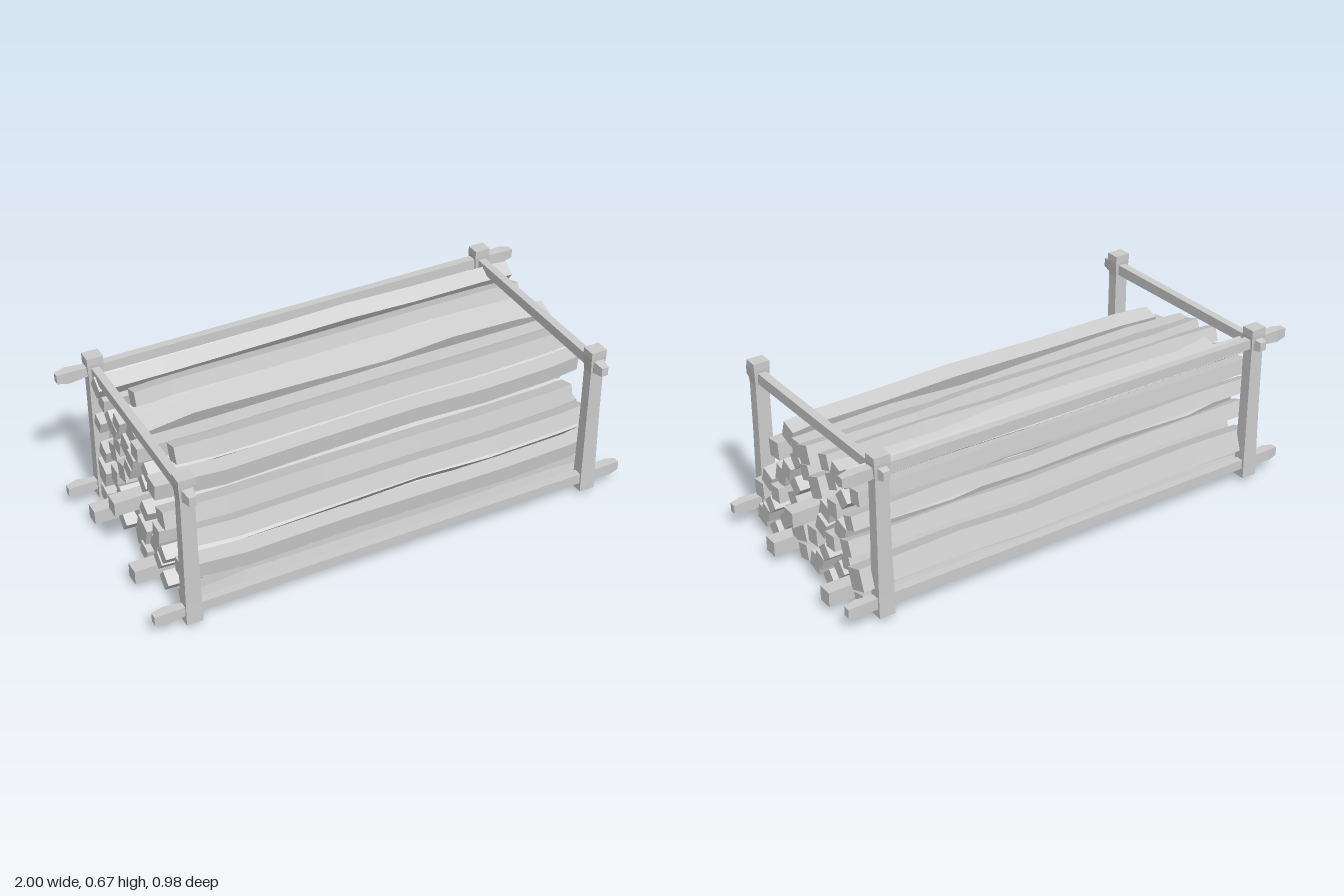
import * as THREE from 'three';

const material = new THREE.MeshStandardMaterial({ color: 0xcccccc, flatShading: true });

// Four-sided timber along x, from stations [x, y, z, height, depth]
function timber(stations) {
  const rings = stations.map(([x, y, z, h, d]) => [
    [x, y + h / 2, z - d / 2], [x, y + h / 2, z + d / 2],
    [x, y - h / 2, z + d / 2], [x, y - h / 2, z - d / 2],
  ]);
  const positions = [];
  const quad = (a, b, c, d) => positions.push(...a, ...b, ...c, ...a, ...c, ...d);
  for (let i = 0; i < rings.length - 1; i++) {
    const p = rings[i], q = rings[i + 1];
    for (let k = 0; k < 4; k++) {
      const n = (k + 1) % 4;
      quad(p[k], p[n], q[n], q[k]);
    }
  }
  const first = rings[0], last = rings[rings.length - 1];
  quad(first[3], first[2], first[1], first[0]);
  quad(last[0], last[1], last[2], last[3]);
  const geometry = new THREE.BufferGeometry();
  geometry.setAttribute('position', new THREE.Float32BufferAttribute(positions, 3));
  geometry.computeVertexNormals();
  return geometry;
}

function add(parent, name, geometry, x, y, z) {
  const mesh = new THREE.Mesh(geometry, material);
  mesh.name = name;
  mesh.position.set(x, y, z);
  parent.add(mesh);
  return mesh;
}

// Rail with swollen, tapered tips beyond the posts
const rail = (half, inner) => timber([
  [-half, 0, 0, 0.036, 0.028], [-half + 0.045, 0, 0, 0.05, 0.042],
  [-inner, 0, 0, 0.04, 0.032], [inner, 0, 0, 0.044, 0.034],
  [half - 0.045, 0, 0, 0.05, 0.042], [half, 0, 0, 0.036, 0.028],
]);

// Logs: [z, y, roll in degrees, thickness, sideways sweep of the body]
// Lower bundle, laid twice side by side
const bundle = [
  [0.34, 0.048, -15, 0.068, -0.03], [0.215, 0.05, 40, 0.06, 0.006],
  [0.125, 0.05, 0, 0.06, 0], [0.025, 0.05, 15, 0.062, 0.02],
  [0.322, 0.178, 6, 0.066, 0.026], [0.212, 0.17, 40, 0.056, 0.006],
  [0.112, 0.17, 17, 0.056, 0.006], [0.02, 0.152, 20, 0.085, 0.012],
  [0.255, 0.115, -20, 0.054, 0.01], [0.165, 0.11, 42, 0.056, 0.005],
  [0.255, 0.252, -20, 0.066, 0.025], [0.165, 0.24, 5, 0.06, 0.008],
];
// Loose logs filling the middle and top of the stack
const loose = [
  [0.17, 0.303, -15, 0.072, 0.02], [0.055, 0.265, 30, 0.06, 0.015],
  [-0.035, 0.258, 0, 0.06, 0], [-0.15, 0.308, -15, 0.07, 0.015],
  [-0.285, 0.305, -15, 0.07, -0.025], [-0.345, 0.27, 20, 0.062, -0.01],
  [0.08, 0.12, 20, 0.065, 0.01],
  [0.095, 0.37, -20, 0.058, 0.008], [0.005, 0.35, 45, 0.056, 0.004],
  [-0.085, 0.365, 22, 0.058, 0.008], [-0.235, 0.37, 5, 0.064, 0.022],
  [0.15, 0.437, 6, 0.068, 0.022], [0.047, 0.43, 38, 0.058, 0.006],
  [-0.05, 0.43, 20, 0.06, 0.008], [-0.145, 0.42, 22, 0.078, 0.01],
  [-0.21, 0.465, 25, 0.062, -0.025], [-0.305, 0.445, 45, 0.058, 0.008],
  [-0.375, 0.388, 20, 0.055, 0.005],
  [0.095, 0.516, -17, 0.068, 0.018], [0.005, 0.502, 1, 0.062, 0.005],
  [-0.075, 0.52, 20, 0.072, -0.025], [-0.165, 0.522, 20, 0.06, 0.008],
  [-0.272, 0.53, -18, 0.068, -0.02], [-0.365, 0.56, 35, 0.064, -0.005],
  [-0.37, 0.48, 8, 0.058, 0.006],
];

function log(size, sweep, roll, index) {
  const straight = roll === 0;
  const short = roll <= -17;
  const x0 = straight ? -0.96 : short ? -0.76 : -0.85 - 0.02 * (index % 2);
  const x1 = straight ? 0.995 : 0.91 + 0.015 * (index % 3);
  const wave = straight ? 0 : index % 2 ? 0.009 : -0.009;
  const fat = size * (straight ? 1 : 1.05);
  return timber([
    [x0, 0, 0, size, size],
    [-0.6, wave * 0.3, sweep + wave * 0.6, fat, fat],
    [-0.2, 0, sweep * 0.7, fat, size],
    [0.2, -wave * 0.5, sweep * 0.6 - wave, size, fat],
    [0.5, wave * 0.3, sweep + wave * 0.3, fat, fat],
    [0.8, 0, sweep * 0.7, size, size],
    [x1, 0, 0, size, size],
  ]);
}

export function createModel() {
  const model = new THREE.Group();
  model.name = 'firewoodRack';

  // Corner posts with flared heads
  const post = timber([
    [0.012, 0, 0, 0.066, 0.055], [0.1, 0, 0, 0.064, 0.051],
    [0.35, 0, 0, 0.058, 0.046], [0.57, 0, 0, 0.056, 0.046],
    [0.635, 0, 0, 0.066, 0.056], [0.664, 0, 0, 0.066, 0.056],
  ]);
  post.rotateZ(Math.PI / 2);
  for (const x of [-0.847, 0.847])
    for (const z of [0.415, -0.432]) add(model, 'post', post, x, 0, z);

  // Long rails: two at the bottom, one at the top of the back
  const longRail = rail(0.998, 0.88);
  add(model, 'frontBottomRail', longRail, 0, 0.07, 0.417);
  add(model, 'backBottomRail', longRail, 0, 0.07, -0.432);
  add(model, 'backTopRail', longRail, 0, 0.602, -0.432);

  // End rails across the top
  const endRail = rail(0.488, 0.4);
  endRail.rotateY(-Math.PI / 2);
  for (const x of [-0.847, 0.847]) add(model, 'endTopRail', endRail, x, 0.6, 0);

  // Stack of split logs
  const stack = new THREE.Group();
  stack.name = 'logStack';
  const second = bundle.map(([z, ...rest]) => [z - 0.4, ...rest]);
  [...bundle, ...second, ...loose].forEach(([z, y, roll, size, sweep], i) => {
    add(stack, 'log', log(size, sweep, roll, i), 0, y, z).rotation.x = THREE.MathUtils.degToRad(roll);
  });
  model.add(stack);
  return model;
}
